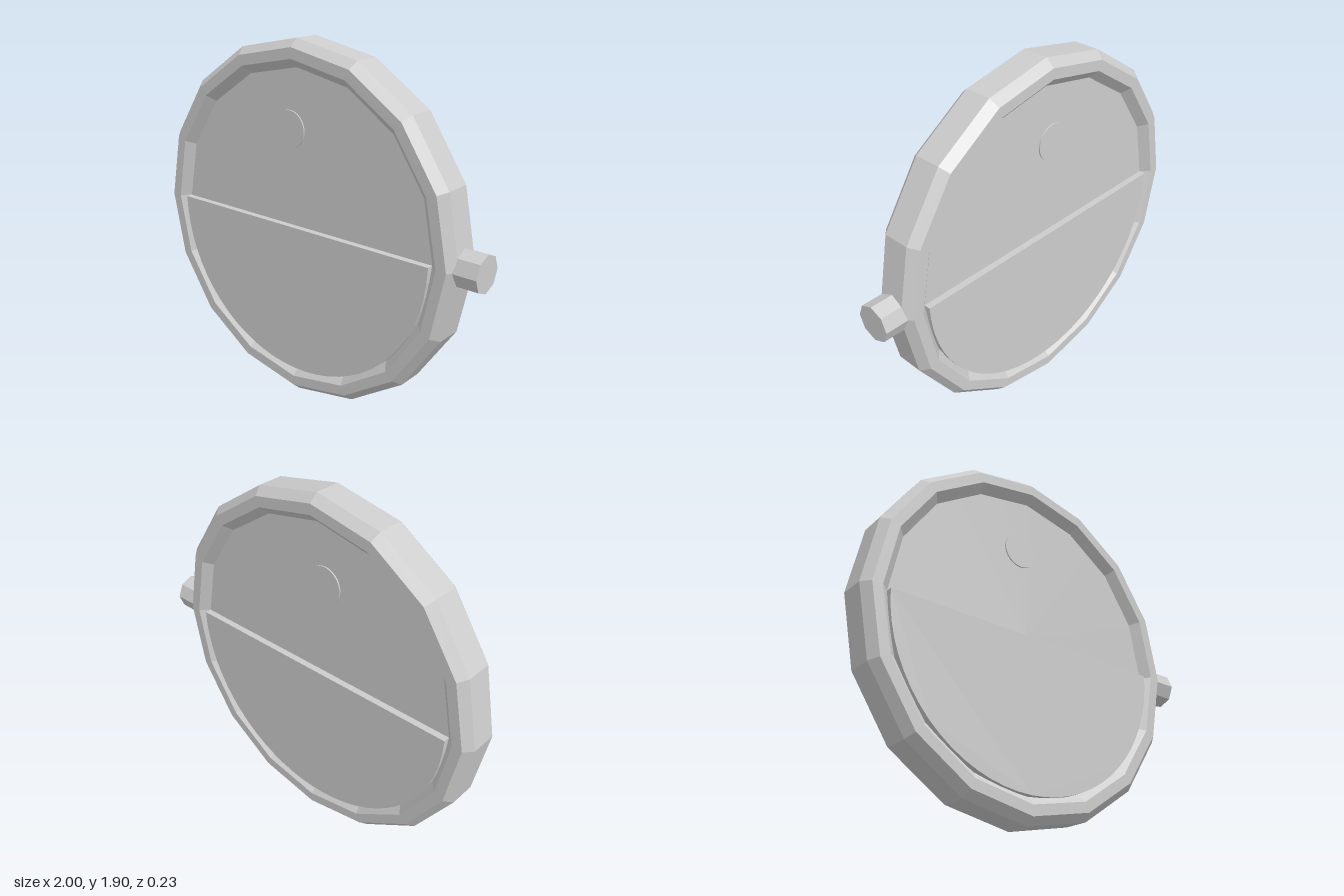
import * as THREE from 'three';

export function createModel() {
  const model = new THREE.Group();
  const grey = new THREE.MeshStandardMaterial({ color: 0xcccccc, flatShading: true });
  grey.name = 'lightGrey';
  const CX = -0.05, CY = 0.95;

  const add = (name, geometry, x, y) => {
    const mesh = new THREE.Mesh(geometry, grey);
    mesh.name = name;
    mesh.position.set(x, y, 0);
    model.add(mesh);
  };

  // Sixteen-sided rim with a bevelled octagonal section
  const section = [
    [0.95, -0.07], [0.95, 0.07], [0.91, 0.115], [0.855, 0.115],
    [0.81, 0.07], [0.81, -0.07], [0.855, -0.115], [0.91, -0.115], [0.95, -0.07],
  ].map(([r, h]) => new THREE.Vector2(r, h));
  add('rim', new THREE.LatheGeometry(section, 16).rotateX(Math.PI / 2), CX, CY);

  // Disc filling the rim
  add('disc', new THREE.CylinderGeometry(0.81, 0.81, 0.14, 32).rotateX(Math.PI / 2), CX, CY);

  // Thicker lower half, standing proud on both sides
  const half = new THREE.Shape();
  half.absarc(0, 0, 0.81, Math.PI, Math.PI * 2, false);
  half.closePath();
  const halfGeometry = new THREE.ExtrudeGeometry(half, { depth: 0.21, bevelEnabled: false, curveSegments: 16 });
  add('lowerHalf', halfGeometry.translate(0, 0, -0.105), CX, CY);

  // Small round spot, seen from front and back
  add('spot', new THREE.CylinderGeometry(0.097, 0.097, 0.154, 32).rotateX(Math.PI / 2), -0.1, 1.45);

  // Octagonal knob on the left side of the rim
  add('knob', new THREE.CylinderGeometry(0.095, 0.095, 0.15, 8).rotateZ(-Math.PI / 2), 0.925, CY);

  return model;
}
